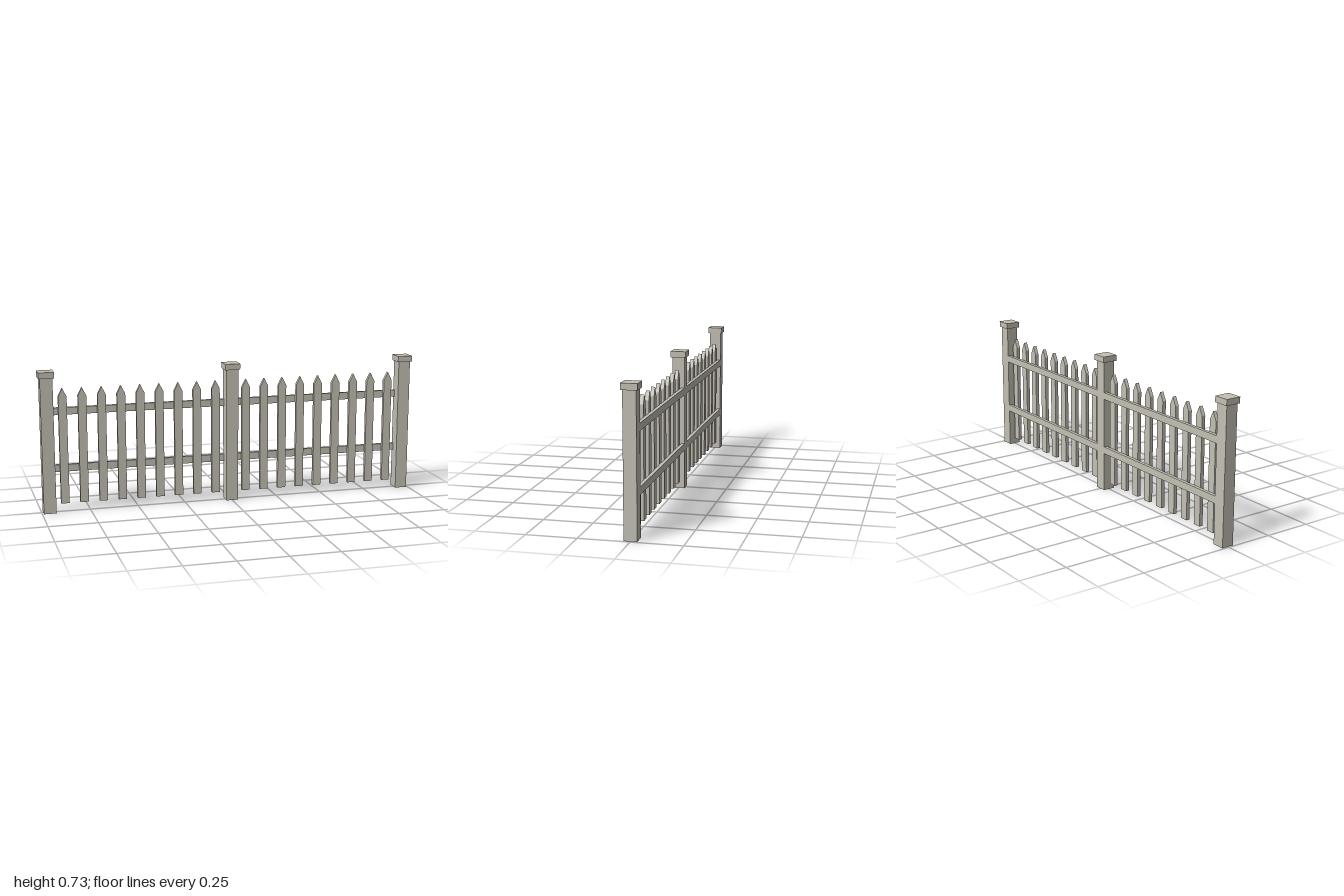
import * as THREE from 'three';

export function createModel() {
  const fence = new THREE.Group();
  fence.name = 'picketFence';
  const wood = new THREE.MeshStandardMaterial({ color: 0xc4c0b5 });
  wood.name = 'weathered wood';

  const add = (name, geometry, x, y, z) => {
    const mesh = new THREE.Mesh(geometry, wood);
    mesh.name = name;
    mesh.position.set(x, y, z);
    fence.add(mesh);
  };

  // Posts with overhanging flat caps
  const postX = 0.96, postW = 0.064, postH = 0.698, capH = 0.031;
  const postGeo = new THREE.BoxGeometry(postW, postH, postW);
  const capGeo = new THREE.BoxGeometry(0.08, capH, 0.08);
  for (const x of [-postX, 0, postX]) {
    add('post', postGeo, x, postH / 2, 0);
    add('postCap', capGeo, x, postH + capH / 2, 0);
  }

  // Rails, flush with the back of the posts
  const railFront = -0.014, railDepth = postW / 2 + railFront;
  const railGeo = new THREE.BoxGeometry(postX - postW, 0.037, railDepth);

  // Pointed picket board
  const hw = 0.0215;
  const outline = new THREE.Shape([
    new THREE.Vector2(-hw, 0.042),
    new THREE.Vector2(hw, 0.042),
    new THREE.Vector2(hw, 0.597),
    new THREE.Vector2(0, 0.64),
    new THREE.Vector2(-hw, 0.597),
  ]);
  const picketGeo = new THREE.ExtrudeGeometry(outline, { depth: 0.019, bevelEnabled: false });

  // Two mirrored bays of rails and pickets
  for (const side of [-1, 1]) {
    for (const y of [0.223, 0.519]) {
      add('rail', railGeo, side * postX / 2, y, railFront - railDepth / 2);
    }
    for (let i = 0; i < 9; i++) {
      add('picket', picketGeo, side * (0.082 + i * 0.0995), 0, railFront);
    }
  }
  return fence;
}
